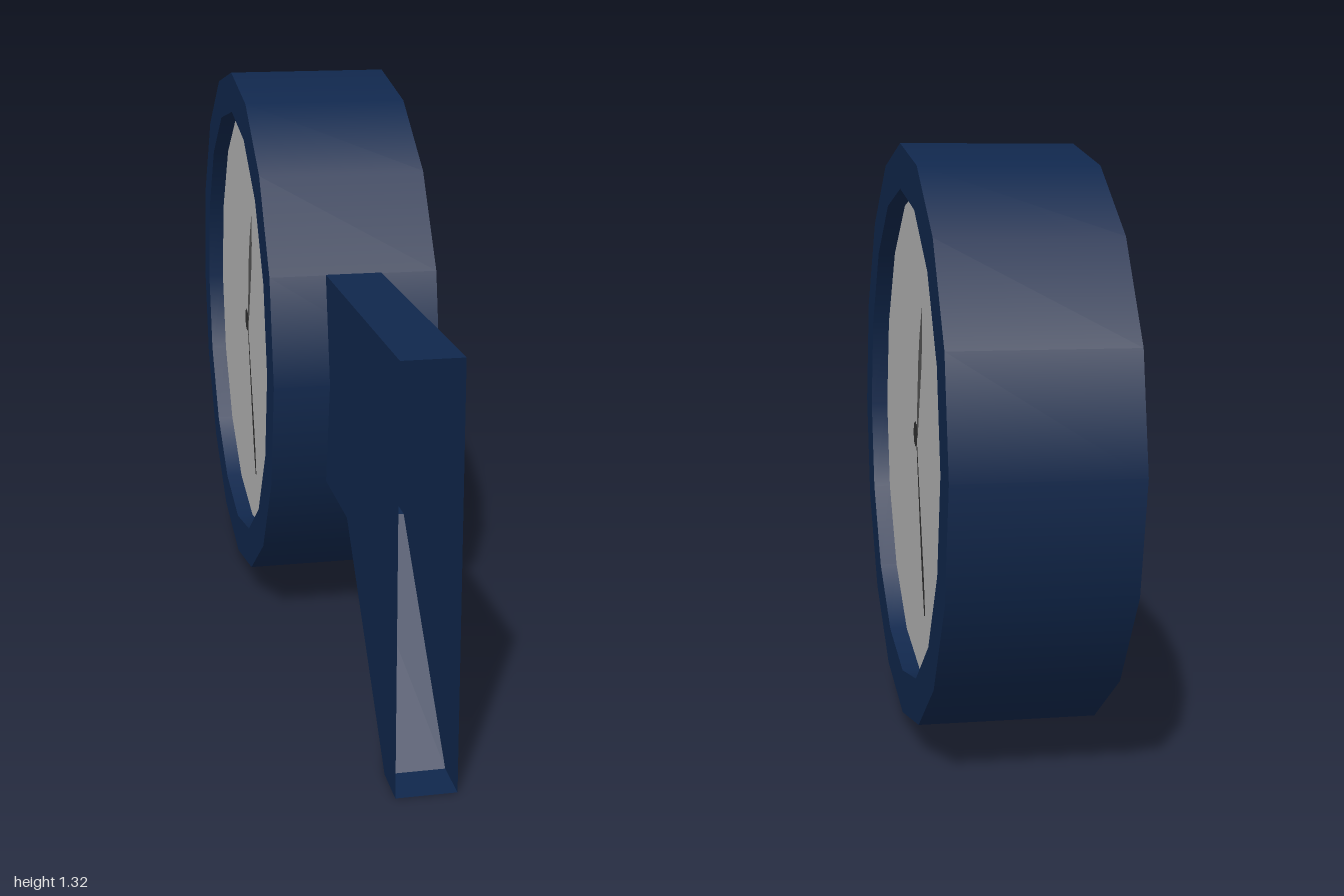
import * as THREE from 'three';

const R = 0.65, INNER = 0.55, HALF = 0.196, RECESS = 0.04, SIDES = 16;
const CENTER_Y = 0.67, CENTER_Z = -0.35;

function mat(name, color, side = THREE.FrontSide) {
  const m = new THREE.MeshStandardMaterial({ color, side });
  m.name = name;
  return m;
}

function add(parent, name, geometry, material) {
  const m = new THREE.Mesh(geometry, material);
  m.name = name;
  parent.add(m);
  return m;
}

function shapeOf(points) {
  return new THREE.Shape(points.map(([x, y]) => new THREE.Vector2(x, y)));
}

// Leaf-shaped hand pointing up, from [halfWidth, height] pairs, turned clockwise
function handGeometry(profile, angle) {
  const left = profile.map(([w, h]) => [-w, h]);
  const right = [...profile].reverse();
  return new THREE.ShapeGeometry(shapeOf([...right, ...left])).rotateZ(-angle);
}

// Hollow bracket, open at the wall end and where it meets the case
function bracketGeometry() {
  const profile = [[0.25, 0.42], [0.5, 0.42], [0.9, 0], [1, 0], [1, 0.92], [0.25, 0.92]];
  const solid = new THREE.ExtrudeGeometry(shapeOf(profile), { depth: 0.13, bevelEnabled: false });
  const g = solid.index ? solid.toNonIndexed() : solid;
  const p = g.attributes.position;
  const kept = [];
  for (let i = 0; i < p.count; i += 3) {
    const atEnd = [0.25, 1].some(e => [0, 1, 2].every(k => Math.abs(p.getX(i + k) - e) < 1e-5));
    if (atEnd) continue;
    for (let k = 0; k < 3; k++) kept.push(p.getX(i + k), p.getY(i + k), p.getZ(i + k));
  }
  const out = new THREE.BufferGeometry();
  out.setAttribute('position', new THREE.Float32BufferAttribute(kept, 3));
  out.computeVertexNormals();
  return out.translate(0, 0, -0.065).rotateY(-Math.PI / 2);
}

export function createModel() {
  const model = new THREE.Group();
  model.name = 'wallClock';
  const navy = mat('navy', 0x10274c, THREE.DoubleSide);
  const dialGrey = mat('dialGrey', 0xb4b4b4);
  const handGrey = mat('handGrey', 0x555555);
  const handDark = mat('handDark', 0x303030);

  add(model, 'wallBracket', bracketGeometry(), navy);

  // Drum-shaped case
  const clock = new THREE.Group();
  clock.name = 'clock';
  clock.position.set(0, CENTER_Y, CENTER_Z);
  model.add(clock);
  add(clock, 'caseWall',
    new THREE.CylinderGeometry(R, R, HALF * 2, SIDES, 1, true).rotateZ(Math.PI / 2), navy);

  // Two identical dials, back to back
  for (const s of [1, -1]) {
    const side = new THREE.Group();
    side.name = s > 0 ? 'leftDial' : 'rightDial';
    side.rotation.y = s * Math.PI / 2;
    clock.add(side);

    add(side, 'rim', new THREE.RingGeometry(INNER, R, SIDES), navy).position.z = HALF;
    add(side, 'rimInside',
      new THREE.CylinderGeometry(INNER, INNER, RECESS, SIDES, 1, true).rotateX(Math.PI / 2), navy)
      .position.z = HALF - RECESS / 2;

    const depth = HALF - RECESS;
    add(side, 'dial', new THREE.CircleGeometry(INNER, SIDES), dialGrey).position.z = depth;
    add(side, 'hourHand',
      handGeometry([[0.01, 0], [0.024, 0.17], [0.02, 0.23], [0.003, 0.3]], 0.26), handGrey)
      .position.z = depth + 0.004;
    add(side, 'minuteHand',
      handGeometry([[0.004, 0], [0.013, 0.29], [0.013, 0.34], [0.007, 0.41]], Math.PI - 0.29), handDark)
      .position.z = depth + 0.006;
    add(side, 'hub', new THREE.CircleGeometry(0.03, 8), handDark).position.z = depth + 0.008;
  }
  return model;
}
